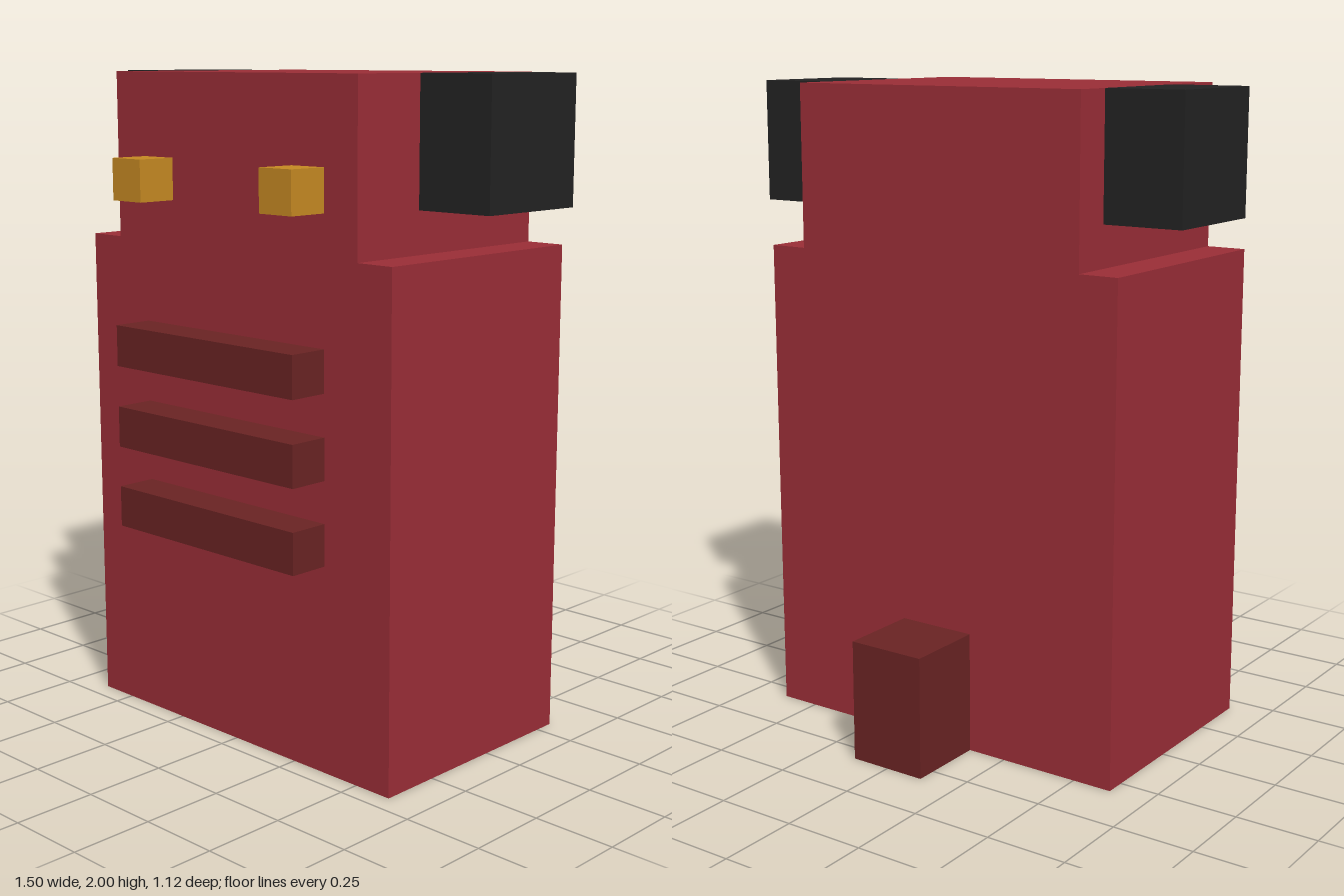
import * as THREE from 'three';

const material = (name, color) => {
  const m = new THREE.MeshStandardMaterial({ color });
  m.name = name;
  return m;
};

export function createModel() {
  const red = material('red', 0x992d36);
  const darkRed = material('dark red', 0x692323);
  const black = material('black', 0x222222);
  const amber = material('amber', 0xc48822);

  const model = new THREE.Group();
  model.name = 'blockCreature';

  // Box given by its size, centre x, base height and centre z
  const box = (name, mat, [w, h, d], [x, y, z]) => {
    const mesh = new THREE.Mesh(new THREE.BoxGeometry(w, h, d), mat);
    mesh.name = name;
    mesh.position.set(x, y + h / 2, z);
    model.add(mesh);
  };

  // Body and narrower head share the same depth
  box('body', red, [1.25, 1.5, 0.75], [0, 0, 0.0625]);
  box('head', red, [1, 0.5, 0.75], [0, 1.5, 0.0625]);

  // Paired ears and eyes
  for (const [side, s] of [['left', 1], ['right', -1]]) {
    box(side + 'Ear', black, [0.25, 0.375, 0.375], [s * 0.625, 1.625, 0]);
    box(side + 'Eye', amber, [0.125, 0.125, 0.125], [s * 0.3125, 1.625, 0.5]);
  }

  // Raised belly stripes
  for (let i = 0; i < 3; i++) {
    box('bellyStripe' + (i + 1), darkRed, [0.75, 0.125, 0.125], [0, 0.625 + i * 0.25, 0.5]);
  }

  // Stubby tail
  box('tail', darkRed, [0.25, 0.375, 0.25], [0, 0, -0.4375]);

  return model;
}
